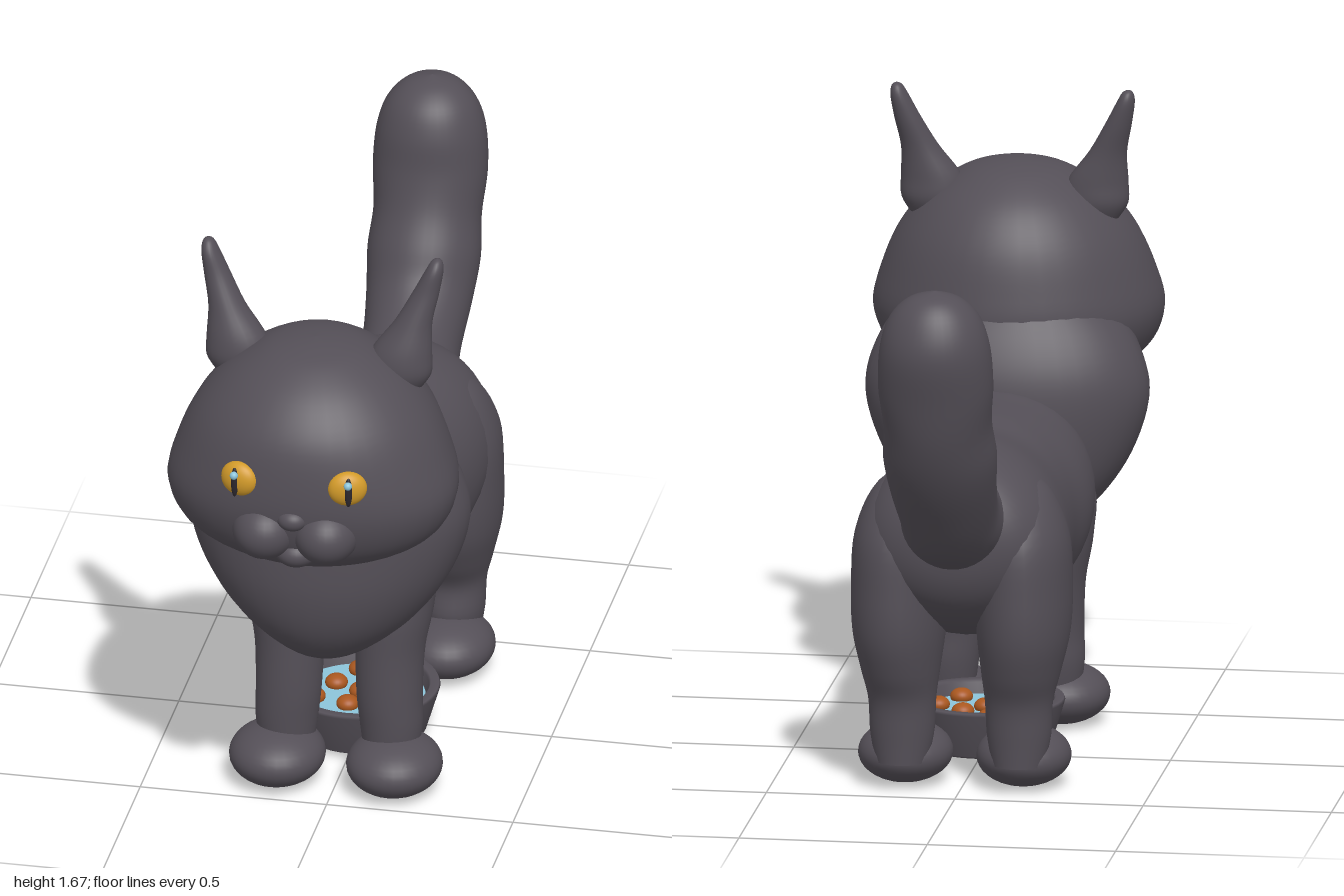
import * as THREE from 'three';

const mat = (name, color) => {
  const m = new THREE.MeshStandardMaterial({ color });
  m.name = name;
  return m;
};

// Catmull-Rom resampling of every column of a row list
function resample(rows, steps) {
  const out = [];
  const at = i => rows[Math.min(rows.length - 1, Math.max(0, i))];
  for (let i = 0; i < rows.length - 1; i++) {
    for (let k = 0; k < steps; k++) {
      const t = k / steps;
      out.push(rows[i].map((_, c) => {
        const [a, b, d, e] = [at(i - 1)[c], at(i)[c], at(i + 1)[c], at(i + 2)[c]];
        return 0.5 * (2 * b + (d - a) * t + (2 * a - 5 * b + 4 * d - e) * t * t + (3 * b - a - 3 * d + e) * t ** 3);
      }));
    }
  }
  out.push(rows[rows.length - 1]);
  return out;
}

// Smooth skin over oval rings. Row: [x, y, z, half width, front reach, back reach, tilt in degrees]
function loft(rows, sides = 40, steps = 5) {
  const rings = resample(rows, steps);
  const pos = [], idx = [];
  rings.forEach(([x, y, z, w, f, b, tilt = 0], i) => {
    const t = THREE.MathUtils.degToRad(tilt);
    for (let j = 0; j < sides; j++) {
      const a = (j / sides) * Math.PI * 2, s = Math.sin(a);
      const d = s * Math.max(0, s > 0 ? f : b);
      pos.push(x + Math.max(0, w) * Math.cos(a), y + d * Math.sin(t), z + d * Math.cos(t));
      if (i < rings.length - 1) {
        const p = i * sides + j, q = i * sides + (j + 1) % sides;
        idx.push(p, p + sides, q, q, p + sides, q + sides);
      }
    }
  });
  const g = new THREE.BufferGeometry();
  g.setAttribute('position', new THREE.Float32BufferAttribute(pos, 3));
  g.setIndex(idx);
  g.computeVertexNormals();
  return g;
}

export function createModel() {
  const model = new THREE.Group();
  model.name = 'cat';
  const fur = mat('charcoal fur', 0x544f57);
  const amber = mat('amber', 0xd39b2a);
  const dark = mat('pupil black', 0x2b272d);
  const blue = mat('pale blue', 0x8cc4da);
  const brown = mat('kibble brown', 0xa9571f);

  const add = (name, geo, material, parent = model) => {
    const m = new THREE.Mesh(geo, material);
    m.name = name;
    parent.add(m);
    return m;
  };
  const ball = (name, material, [x, y, z], [rx, ry, rz], parent = model) => {
    const m = add(name, new THREE.SphereGeometry(1, 32, 20), material, parent);
    m.position.set(x, y, z);
    m.scale.set(rx, ry, rz);
    return m;
  };

  // Torso, from chest to rump
  add('torso', loft([
    [0, 0.68, 0.45, 0, 0, 0, 90],
    [0, 0.68, 0.42, 0.16, 0.16, 0.18, 90],
    [0, 0.67, 0.3, 0.25, 0.25, 0.25, 90],
    [0, 0.65, 0.15, 0.272, 0.272, 0.275, 90],
    [0, 0.64, 0, 0.255, 0.283, 0.275, 90],
    [0, 0.64, -0.12, 0.258, 0.275, 0.27, 90],
    [0, 0.65, -0.3, 0.272, 0.285, 0.25, 90],
    [0, 0.67, -0.43, 0.255, 0.25, 0.22, 90],
    [0, 0.69, -0.52, 0.2, 0.18, 0.17, 90],
    [0, 0.7, -0.565, 0.12, 0.1, 0.1, 90],
    [0, 0.7, -0.58, 0, 0, 0, 90],
  ]), fur);

  // Full ruff under the head
  add('ruff', loft([
    [0, 0.455, 0.46, 0, 0, 0],
    [0, 0.465, 0.46, 0.07, 0.09, 0.09],
    [0, 0.51, 0.46, 0.15, 0.17, 0.15],
    [0, 0.6, 0.46, 0.25, 0.235, 0.21],
    [0, 0.72, 0.46, 0.33, 0.265, 0.23],
    [0, 0.86, 0.46, 0.375, 0.265, 0.235],
    [0, 0.97, 0.46, 0.36, 0.26, 0.22],
    [0, 1.08, 0.48, 0.3, 0.22, 0.19],
    [0, 1.16, 0.5, 0.2, 0.15, 0.15],
    [0, 1.2, 0.5, 0, 0, 0],
  ]), fur);

  // Head with wide cheeks
  add('head', loft([
    [0, 0.855, 0.68, 0, 0, 0],
    [0, 0.862, 0.68, 0.12, 0.1, 0.15],
    [0, 0.895, 0.68, 0.25, 0.18, 0.25],
    [0, 0.96, 0.68, 0.345, 0.245, 0.33],
    [0, 1.06, 0.68, 0.385, 0.28, 0.38],
    [0, 1.17, 0.67, 0.36, 0.29, 0.36],
    [0, 1.28, 0.66, 0.31, 0.275, 0.32],
    [0, 1.37, 0.65, 0.235, 0.22, 0.25],
    [0, 1.43, 0.645, 0.145, 0.14, 0.16],
    [0, 1.453, 0.64, 0.07, 0.07, 0.08],
    [0, 1.46, 0.64, 0, 0, 0],
  ]), fur);

  // Muzzle, nose and chin
  for (const s of [-1, 1]) ball('muzzlePad', fur, [s * 0.082, 1.018, 0.895], [0.087, 0.082, 0.1]);
  ball('nose', fur, [0, 1.072, 0.945], [0.04, 0.03, 0.035]);
  ball('chin', fur, [0, 0.955, 0.88], [0.06, 0.045, 0.07]);

  // Bushy upright tail with soft lumps
  add('tail', loft([
    [0, 0.7, -0.4, 0.12, 0.15, 0.12, 65],
    [0, 0.76, -0.5, 0.14, 0.16, 0.14, 55],
    [0, 0.81, -0.6, 0.13, 0.145, 0.145, 45],
    [0, 0.9, -0.7, 0.14, 0.135, 0.13, 38],
    [0, 1.0, -0.765, 0.15, 0.14, 0.135, 28],
    [0, 1.1, -0.81, 0.143, 0.133, 0.137, 22],
    [0, 1.21, -0.845, 0.152, 0.135, 0.132, 15],
    [0, 1.32, -0.862, 0.145, 0.136, 0.138, 8],
    [0, 1.4, -0.867, 0.118, 0.112, 0.112, 4],
    [0, 1.45, -0.868, 0.068, 0.065, 0.065, 0],
    [0, 1.47, -0.868, 0, 0, 0, 0],
  ]), fur);

  for (const s of [-1, 1]) {
    // Legs and paws
    add('frontLeg', loft([
      [s * 0.14, 0.08, 0.34, 0.07, 0.07, 0.07],
      [s * 0.14, 0.18, 0.335, 0.083, 0.085, 0.085],
      [s * 0.135, 0.27, 0.335, 0.087, 0.09, 0.09],
      [s * 0.135, 0.4, 0.325, 0.092, 0.1, 0.1],
      [s * 0.145, 0.53, 0.315, 0.105, 0.11, 0.11],
      [s * 0.15, 0.66, 0.31, 0.1, 0.09, 0.09],
      [s * 0.15, 0.74, 0.31, 0, 0, 0],
    ], 28), fur);
    ball('frontPaw', fur, [s * 0.157, 0.083, 0.378], [0.127, 0.08, 0.14]);
    add('hindLeg', loft([
      [s * 0.155, 0.08, -0.4, 0.07, 0.07, 0.07],
      [s * 0.155, 0.16, -0.39, 0.085, 0.095, 0.085],
      [s * 0.155, 0.25, -0.39, 0.09, 0.09, 0.095],
      [s * 0.16, 0.33, -0.385, 0.105, 0.13, 0.135],
      [s * 0.165, 0.43, -0.375, 0.122, 0.165, 0.175],
      [s * 0.165, 0.55, -0.365, 0.127, 0.17, 0.19],
      [s * 0.16, 0.7, -0.36, 0.122, 0.15, 0.18],
      [s * 0.14, 0.82, -0.35, 0.085, 0.1, 0.11],
      [s * 0.13, 0.87, -0.35, 0, 0, 0],
    ], 28), fur);
    ball('hindPaw', fur, [s * 0.157, 0.085, -0.315], [0.125, 0.08, 0.142]);

    // Tall ears with narrow tufted tips
    add('ear', loft([
      [s * 0.21, 1.31, 0.595, 0.06, 0.04, 0.04],
      [s * 0.216, 1.36, 0.595, 0.085, 0.062, 0.062],
      [s * 0.222, 1.42, 0.593, 0.08, 0.06, 0.06],
      [s * 0.25, 1.5, 0.58, 0.05, 0.046, 0.046],
      [s * 0.28, 1.58, 0.562, 0.035, 0.037, 0.037],
      [s * 0.3, 1.64, 0.554, 0.024, 0.032, 0.032],
      [s * 0.306, 1.668, 0.55, 0.014, 0.018, 0.018],
      [s * 0.307, 1.676, 0.55, 0, 0, 0],
    ], 24), fur);

    // Eyes: amber ball, slit pupil and glint
    const eye = new THREE.Group();
    eye.name = 'eye';
    eye.position.set(s * 0.145, 1.172, 0.93);
    eye.rotation.y = s * 0.3;
    ball('iris', amber, [0, 0, 0], [0.052, 0.048, 0.03], eye);
    ball('pupil', dark, [0, 0, 0.026], [0.01, 0.042, 0.008], eye);
    model.add(eye);
    ball('glint', blue, [s * 0.153, 1.195, 0.963], [0.011, 0.011, 0.011]);
  }

  // Food bowl between the legs
  const bowl = new THREE.Group();
  bowl.name = 'bowl';
  bowl.position.z = 0.06;
  model.add(bowl);
  const profile = [[0, 0.015], [0.165, 0.015], [0.175, 0.022], [0.21, 0.138], [0.207, 0.145], [0.185, 0.145], [0.18, 0.138], [0.165, 0.09]];
  add('bowlShell', new THREE.LatheGeometry(profile.map(p => new THREE.Vector2(...p)), 48), fur, bowl);
  const lining = add('bowlLining', new THREE.CylinderGeometry(0.172, 0.165, 0.008, 48), blue, bowl);
  lining.position.y = 0.105;
  for (let i = 0; i < 8; i++) {
    const a = i * 0.9, r = i ? 0.08 + 0.045 * (i % 2) : 0;
    ball('kibble', brown, [r * Math.cos(a), 0.118, r * Math.sin(a)], [0.03, 0.022, 0.03], bowl);
  }

  return model;
}
